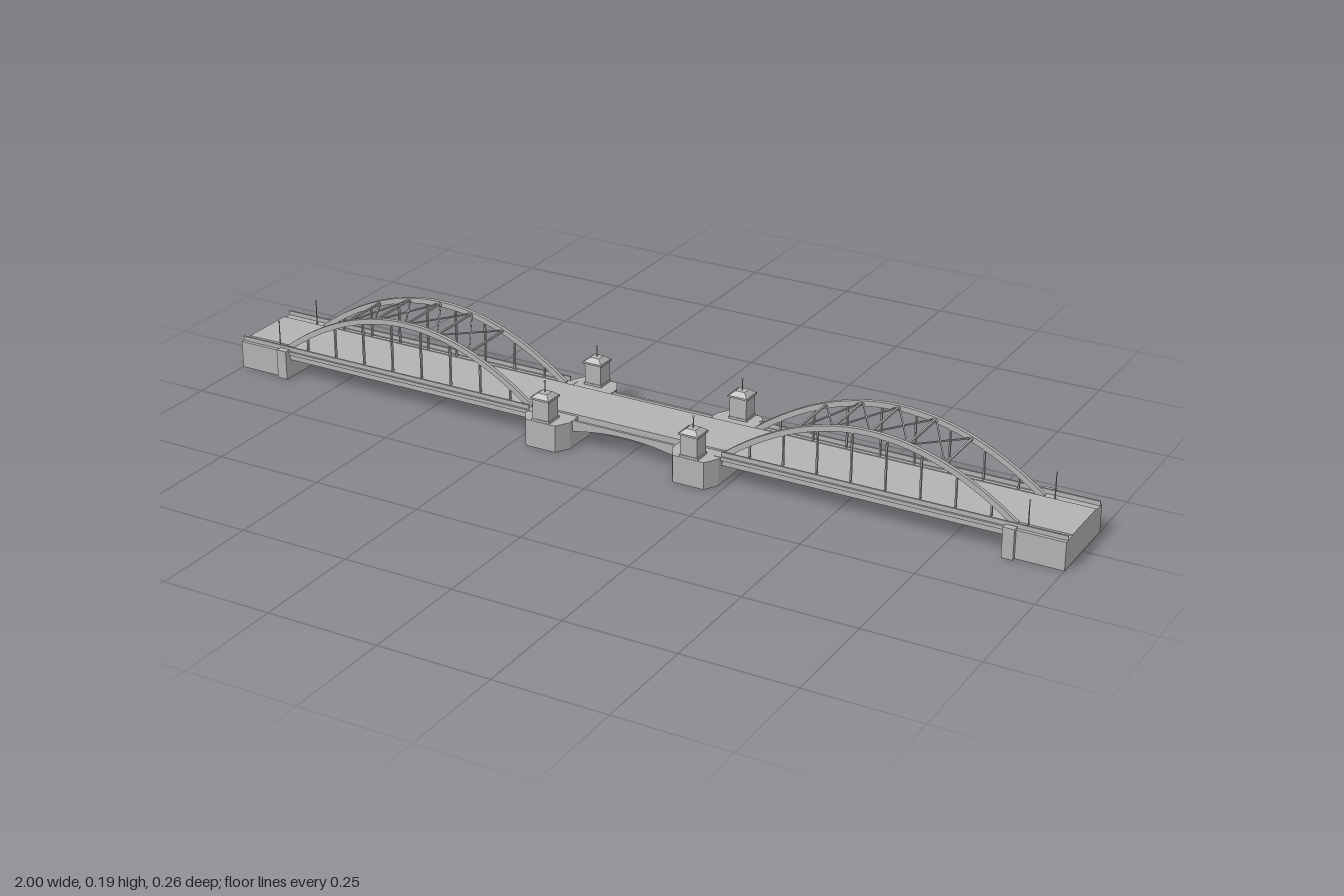
import * as THREE from 'three';

const stone = new THREE.MeshStandardMaterial({ color: 0xb2b2b2 });
stone.name = 'light grey';

const ARCH_X = 0.562, HALF = 0.327, RIB_Z = 0.0705;

function add(parent, name, geo, x = 0, y = 0, z = 0) {
  const m = new THREE.Mesh(geo, stone);
  m.name = name;
  m.position.set(x, y, z);
  parent.add(m);
  return m;
}

// box given by its lower and upper limits
function box(parent, name, x0, x1, y0, y1, z0, z1) {
  return add(parent, name, new THREE.BoxGeometry(x1 - x0, y1 - y0, z1 - z0),
    (x0 + x1) / 2, (y0 + y1) / 2, (z0 + z1) / 2);
}

// straight square bar between two points
function bar(parent, name, a, b, w) {
  const p = new THREE.Vector3(...a), q = new THREE.Vector3(...b);
  const m = add(parent, name, new THREE.BoxGeometry(w, w, p.distanceTo(q)));
  m.position.copy(p).add(q).multiplyScalar(0.5);
  m.lookAt(q);
  return m;
}

// hollow masonry block, open below, from a plan outline
function hollow(parent, name, pts, cx, height) {
  const v = pts.map(([x, z]) => new THREE.Vector2(x, z));
  const walls = new THREE.Shape(v);
  walls.holes.push(new THREE.Path(v.map(p => p.clone().multiplyScalar(0.95)).reverse()));
  const cap = 0.006;
  const up = (shape, depth) =>
    new THREE.ExtrudeGeometry(shape, { depth, bevelEnabled: false }).rotateX(-Math.PI / 2);
  add(parent, name + 'Walls', up(walls, height - cap), cx);
  add(parent, name + 'Cap', up(new THREE.Shape(v), cap), cx, height - cap);
}

const archY = (d, base, rise) => base + rise * (1 - (d / HALF) ** 2);

// parabolic arch rib with hangers
function rib(parent, z) {
  const s = new THREE.Shape(), n = 28;
  for (let i = 0; i <= n; i++) {
    const d = HALF * (2 * i / n - 1);
    s[i ? 'lineTo' : 'moveTo'](d, archY(d, 0.068, 0.124));
  }
  for (let i = n; i >= 0; i--) {
    const d = HALF * (2 * i / n - 1);
    s.lineTo(d * 0.985, archY(d, 0.056, 0.124));
  }
  const g = new THREE.ExtrudeGeometry(s, { depth: 0.009, bevelEnabled: false });
  add(parent, 'archRib', g, 0, 0, z - 0.0045);
  for (let i = 0; i < 8; i++) {
    const d = (i - 3.5) * 0.077;
    box(parent, 'hanger', d - 0.0015, d + 0.0015, 0.06, archY(d, 0.06, 0.124), z - 0.003, z + 0.003);
  }
}

// tied-arch span, centred on its own x = 0
function archSpan() {
  const g = new THREE.Group();
  g.name = 'archSpan';
  for (const s of [-1, 1]) {
    rib(g, s * RIB_Z);
    box(g, 'edgeGirder', -0.325, 0.325, 0.043, 0.055, s * 0.084 - 0.005, s * 0.084 + 0.005);
    box(g, 'tieGirder', -0.325, 0.325, 0.045, 0.067, s * RIB_Z - 0.0045, s * RIB_Z + 0.0045);
  }
  for (let i = 0; i < 9; i++) {
    const d = (i - 4) * 0.077;
    box(g, 'crossBeam', d - 0.005, d + 0.005, 0.044, 0.055, -0.084, 0.084);
  }
  // overhead bracing
  const node = (i, s) => {
    const d = i * 0.0825;
    return [d, archY(d, 0.063, 0.124), s * RIB_Z];
  };
  for (let i = -2; i <= 2; i++) {
    bar(g, 'topStrut', node(i, -1), node(i, 1), 0.004);
    if (i < 2) {
      bar(g, 'diagonalBrace', node(i, -1), node(i + 1, 1), 0.003);
      bar(g, 'diagonalBrace', node(i, 1), node(i + 1, -1), 0.003);
    }
  }
  return g;
}

// gatehouse turret standing on a pier end
function turret() {
  const g = new THREE.Group();
  g.name = 'turret';
  box(g, 'turretBase', -0.022, 0.022, 0.062, 0.067, -0.021, 0.021);
  box(g, 'turretBody', -0.02, 0.02, 0.062, 0.113, -0.0195, 0.0195);
  box(g, 'cornice', -0.024, 0.024, 0.112, 0.116, -0.0225, 0.0225);
  const roof = new THREE.CylinderGeometry(0.011 * Math.SQRT2, 0.022 * Math.SQRT2, 0.009, 4, 1).toNonIndexed();
  roof.rotateY(Math.PI / 4);
  roof.computeVertexNormals();
  add(g, 'hippedRoof', roof, 0, 0.1205, 0);
  add(g, 'finialPole', new THREE.CylinderGeometry(0.001, 0.0015, 0.028, 6), 0, 0.138, 0);
  add(g, 'finialBall', new THREE.SphereGeometry(0.0025, 8, 6), 0, 0.15, 0);
  return g;
}

export function createModel() {
  const model = new THREE.Group();
  model.name = 'archBridge';

  box(model, 'roadway', -1, 1, 0.055, 0.066, -0.065, 0.065);

  for (const e of [-1, 1]) {
    const lim = (a, b) => (e > 0 ? [a, b] : [-b, -a]);

    // arch span and its walkway slab
    const span = archSpan();
    span.position.x = e * ARCH_X;
    model.add(span);
    box(model, 'walkway', ...lim(0.22, 1), 0.055, 0.063, -0.092, 0.092);

    // end abutment
    hollow(model, 'abutment', [[-0.065, -0.096], [0.065, -0.096], [0.065, 0.096], [-0.065, 0.096]],
      e * 0.935, 0.063);

    // river pier with chamfered noses
    hollow(model, 'pier', [[-0.055, -0.1], [-0.037, -0.131], [0.037, -0.131], [0.055, -0.1],
      [0.055, 0.1], [0.037, 0.131], [-0.037, 0.131], [-0.055, 0.1]], e * 0.18, 0.062);

    for (const s of [-1, 1]) {
      const t = turret();
      t.position.set(e * 0.18, 0, s * 0.109);
      model.add(t);

      // abutment pilaster, railing and lamp post
      box(model, 'pilaster', ...lim(0.87, 0.895), 0, 0.068, s * 0.0975 - 0.0075, s * 0.0975 + 0.0075);
      box(model, 'railing', ...lim(0.235, 1), 0.062, 0.071, s * 0.0865 - 0.001, s * 0.0865 + 0.001);
      box(model, 'handrail', ...lim(0.235, 1), 0.071, 0.0735, s * 0.0865 - 0.002, s * 0.0865 + 0.002);
      add(model, 'lampPost', new THREE.CylinderGeometry(0.001, 0.0015, 0.058, 6), e * 0.91, 0.092, s * RIB_Z);
      add(model, 'lamp', new THREE.SphereGeometry(0.0025, 8, 6), e * 0.91, 0.121, s * RIB_Z);
    }
  }

  // central span: arched girders under the road and along the outer edges
  const arch = new THREE.Shape();
  arch.moveTo(-0.13, 0.062);
  arch.lineTo(-0.13, 0.035);
  arch.quadraticCurveTo(0, 0.065, 0.13, 0.035);
  arch.lineTo(0.13, 0.062);
  const girder = new THREE.ExtrudeGeometry(arch, { depth: 0.006, bevelEnabled: false, curveSegments: 14 });
  for (const z of [-0.0845, -0.062, 0.062, 0.0845]) {
    add(model, 'centreGirder', girder, 0, 0, z - 0.003);
  }
  return model;
}
